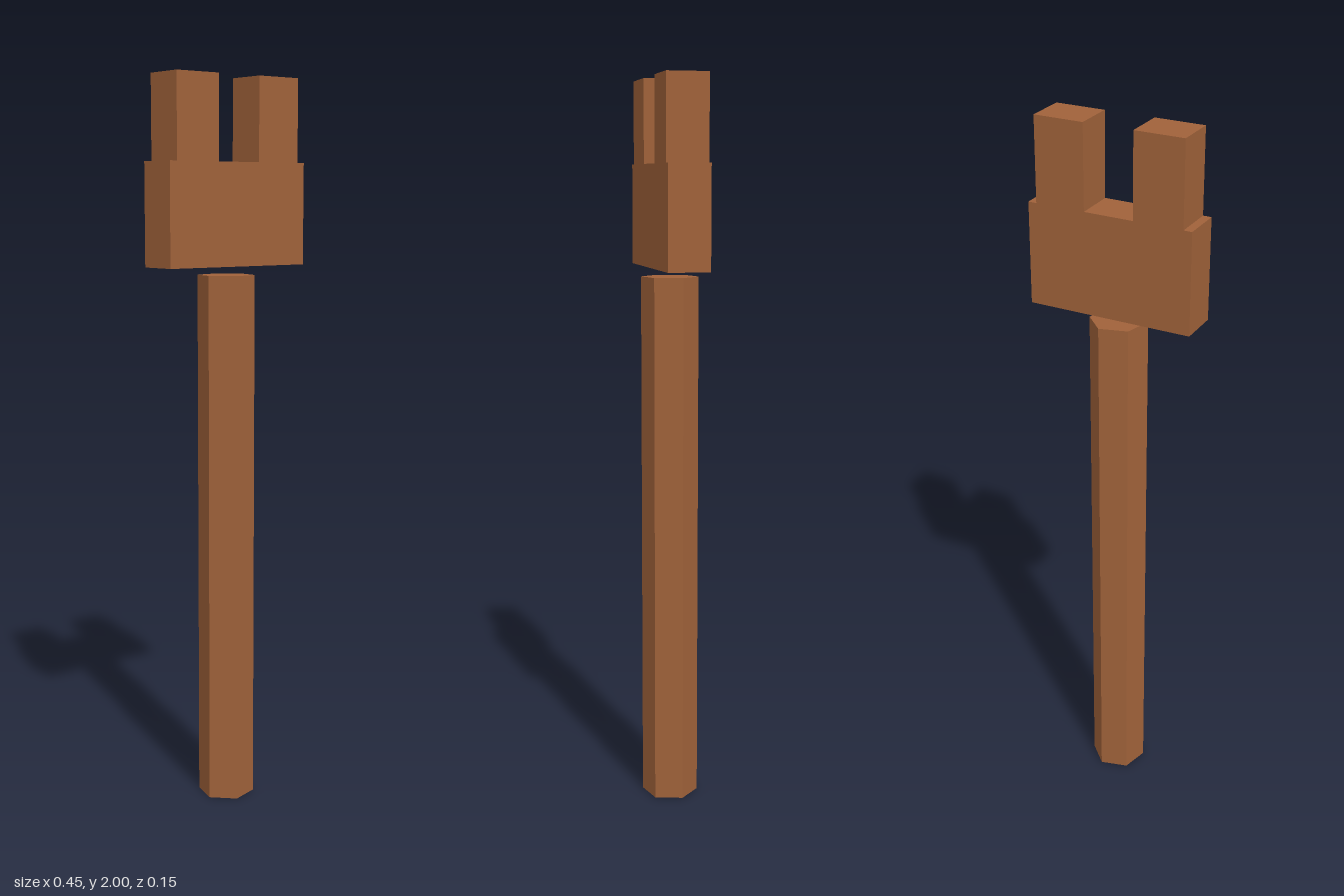
import * as THREE from 'three';

export function createModel() {
  const model = new THREE.Group();
  const wood = new THREE.MeshStandardMaterial({ color: 0xa0623a, flatShading: true });
  wood.name = 'brown wood';

  const add = (name, geometry, y, z = 0) => {
    const mesh = new THREE.Mesh(geometry, wood);
    mesh.name = name;
    mesh.position.set(0, y, z);
    model.add(mesh);
  };

  // Six-sided shaft, turned 15 degrees
  const shaftHeight = 1.476;
  add('shaft', new THREE.CylinderGeometry(0.078, 0.078, shaftHeight, 6, 1, false, -Math.PI / 12), shaftHeight / 2);

  // Forked head with shoulders and two prongs, floating just above the shaft
  const half = [[0.227, 0], [0.227, 0.275], [0.204, 0.275], [0.204, 0.5], [0.068, 0.5], [0.068, 0.275]];
  const outline = [...half, ...half.map(([x, y]) => [-x, y]).reverse()];
  const shape = new THREE.Shape(outline.map(([x, y]) => new THREE.Vector2(x, y)));
  const depth = 0.113;
  add('forkedHead', new THREE.ExtrudeGeometry(shape, { depth, bevelEnabled: false }), 1.5, -depth / 2);

  return model;
}
